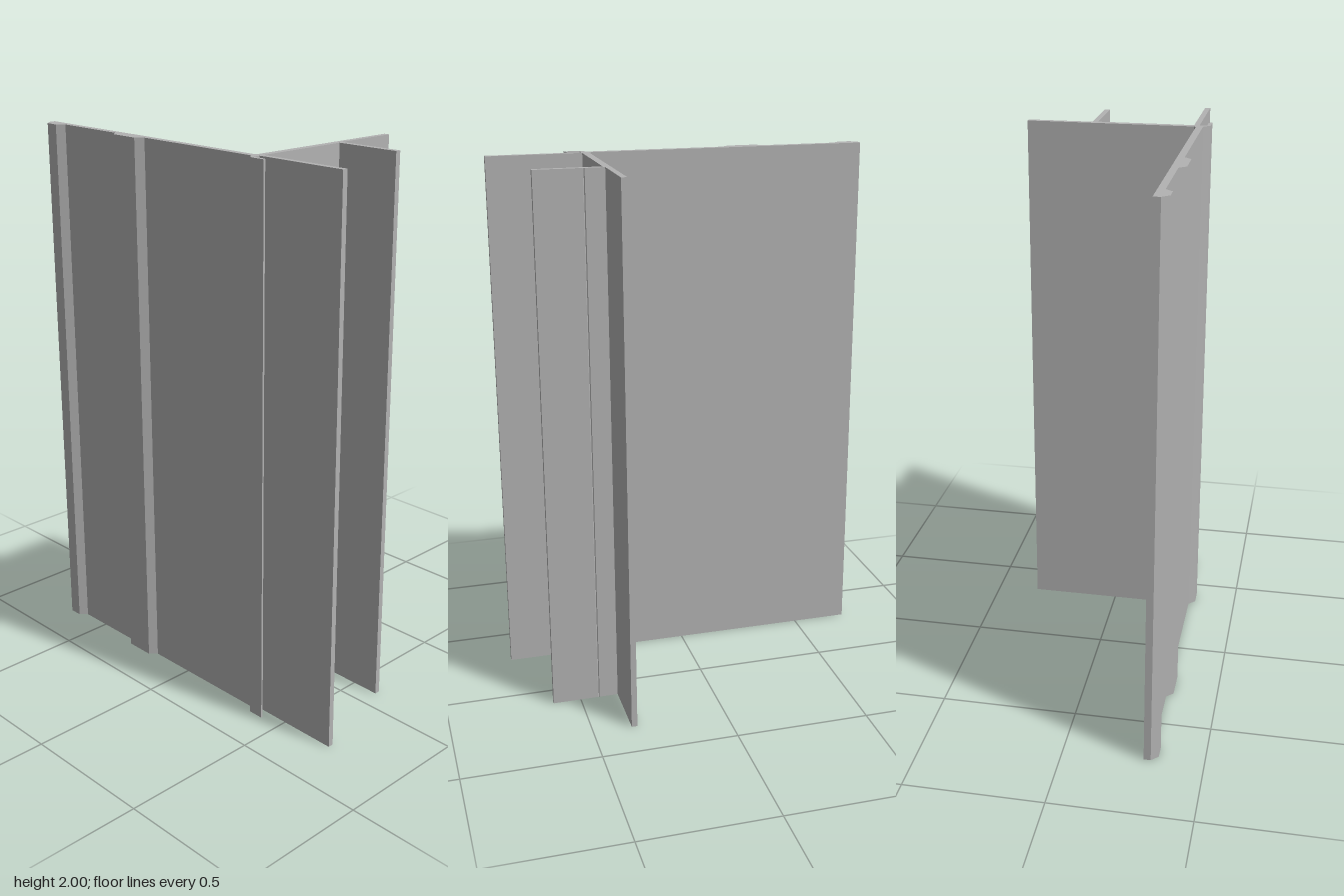
import * as THREE from 'three';

export function createModel() {
  const group = new THREE.Group();
  group.name = 'extrudedTrim';

  const metal = new THREE.MeshStandardMaterial({ color: 0xb2b2b2 });
  metal.name = 'plain grey metal';

  const height = 2;
  const back = 0.288, front = 0.313, rib = 0.338; // depths of the face plate and its ribs
  const webLeft = 0.336, webRight = 0.362;

  // Cross-section as [x, z] corners, one continuous outline
  const outline = [
    // face plate edge and end rib
    [-0.714, back], [-0.714, front], [-0.69, rib], [-0.641, rib], [-0.617, front],
    // middle rib
    [-0.333, front], [-0.309, rib], [-0.2, rib], [-0.176, front],
    // small front lip
    [webLeft, front], [webLeft + 0.026, rib], [0.42, rib], [0.42, 0.331], [0.41, 0.325], [webRight, 0.325],
    // long front fin
    [webRight, 0.298], [0.711, 0.298], [0.711, 0.278], [webRight, 0.278],
    // short rear fin with a scored line on its back
    [webRight, -0.077], [0.604, -0.077], [0.604, -0.097],
    [0.433, -0.097], [0.43, -0.094], [0.427, -0.097], [0.357, -0.097],
    // web tip and the fillet where the web meets the plate
    [0.357, -0.338], [webLeft, -0.338], [webLeft, 0.28], [0.328, back],
  ];

  const shape = new THREE.Shape(outline.map(([x, z]) => new THREE.Vector2(x, -z)));
  const geometry = new THREE.ExtrudeGeometry(shape, { depth: height, bevelEnabled: false });
  geometry.rotateX(-Math.PI / 2); // stand the extrusion upright

  const profile = new THREE.Mesh(geometry, metal);
  profile.name = 'trimProfile';
  group.add(profile);
  return group;
}
